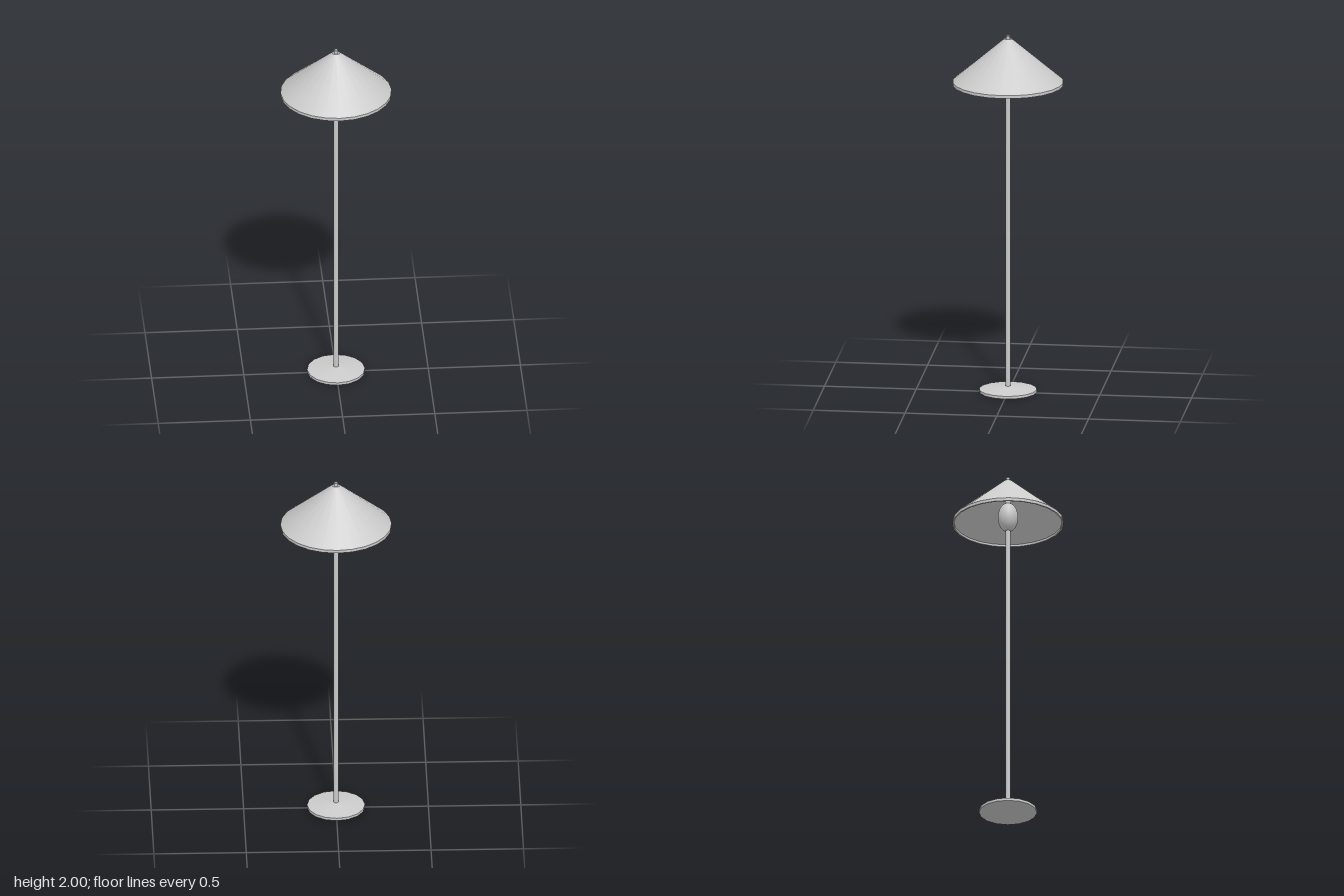
import * as THREE from 'three';
import { mergeGeometries } from 'three/addons/utils/BufferGeometryUtils.js';

const material = new THREE.MeshStandardMaterial({ color: 0xcccccc, side: THREE.DoubleSide });

// Turned part: every profile segment is its own band, so edges between bands stay sharp
function turned(name, profile, sides) {
  const bands = [];
  for (let i = 0; i < profile.length - 1; i++) {
    const pair = [profile[i], profile[i + 1]].map(([r, y]) => new THREE.Vector2(r, y));
    bands.push(new THREE.LatheGeometry(pair, sides));
  }
  const mesh = new THREE.Mesh(mergeGeometries(bands), material);
  mesh.name = name;
  return mesh;
}

function rod(name, radius, y0, y1, sides = 16) {
  const mesh = new THREE.Mesh(new THREE.CylinderGeometry(radius, radius, y1 - y0, sides), material);
  mesh.position.y = (y0 + y1) / 2;
  mesh.name = name;
  return mesh;
}

export function createModel() {
  const lamp = new THREE.Group();
  lamp.name = 'floorLamp';

  // Shallow conical foot with a slightly hollow underside
  lamp.add(turned('base', [
    [0, 0.01], [0.15, 0], [0.157, 0.003], [0.157, 0.018], [0.018, 0.036], [0, 0.036],
  ], 16));

  // Pole running up through the bulb to the shade
  lamp.add(rod('pole', 0.014, 0.03, 1.7));
  lamp.add(rod('socket', 0.016, 1.82, 1.975));

  // Egg-shaped bulb
  const bulb = new THREE.Mesh(new THREE.SphereGeometry(0.055, 24, 16), material);
  bulb.scale.y = 1.53;
  bulb.position.y = 1.763;
  bulb.name = 'bulb';
  lamp.add(bulb);

  // Hollow conical shade with a short upright rim
  lamp.add(turned('shade', [
    [0.014, 1.97], [0.293, 1.737], [0.293, 1.725], [0.301, 1.725],
    [0.301, 1.742], [0.021, 1.98], [0, 1.98],
  ], 24));

  // Finial on top of the shade
  lamp.add(turned('finial', [
    [0.012, 1.97], [0.012, 1.996], [0.009, 2], [0, 2],
  ], 16));

  return lamp;
}
